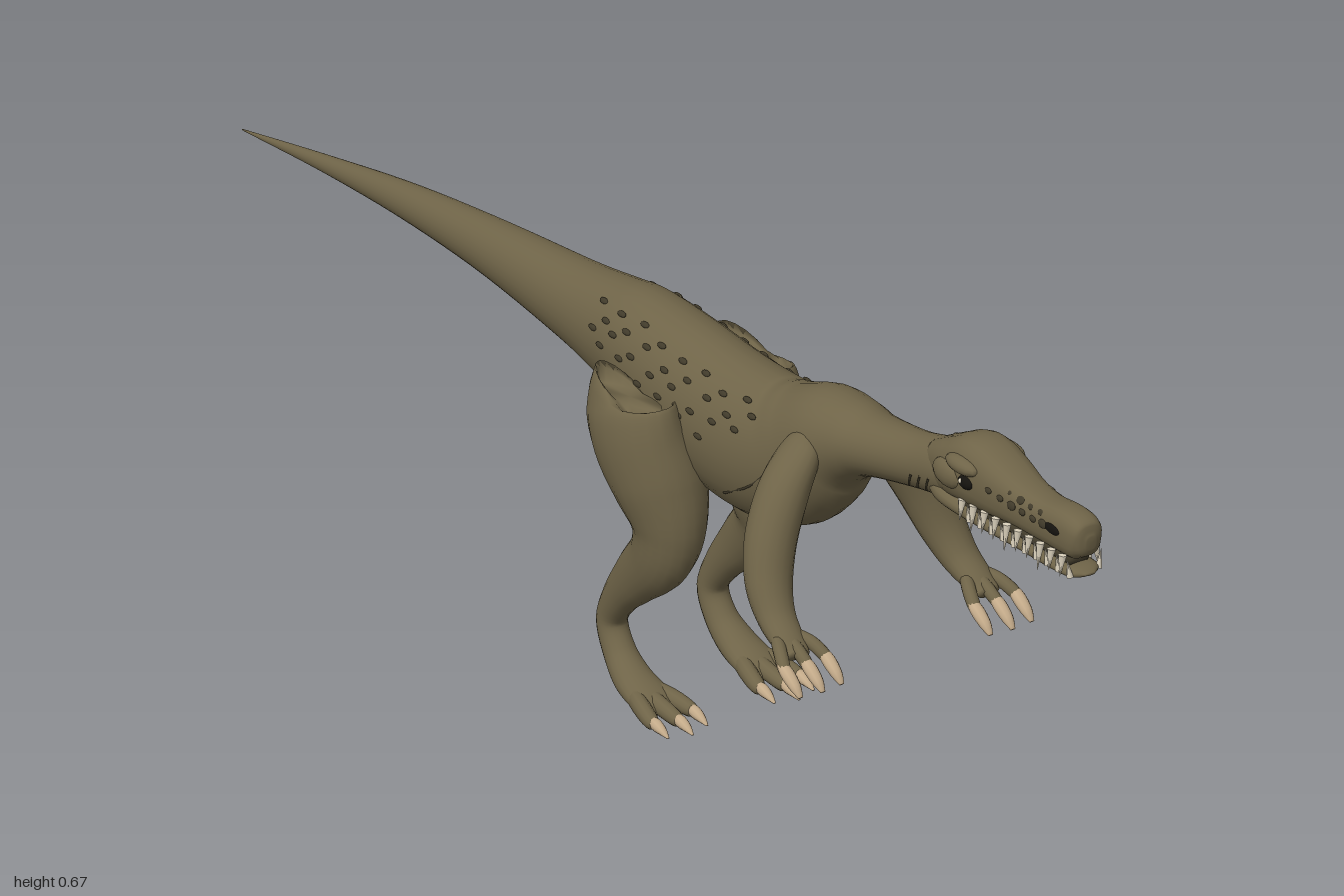
import * as THREE from 'three';

const mat = (name, color) => Object.assign(new THREE.MeshStandardMaterial({ color }), { name });

// Closed smooth loft through rows of [x, y, z, half height, half width]; box > 1 squares the section
function loft(rows, rings = 40, sides = 20, box = 1) {
  const spline = (f) => new THREE.CatmullRomCurve3(rows.map(f), false, 'catmullrom', 0.5);
  const path = spline((r) => new THREE.Vector3(r[0], r[1], r[2]));
  const size = spline((r) => new THREE.Vector3(r[3], r[4], 0));
  const pos = [], idx = [];
  const soft = (v) => Math.sign(v) * Math.abs(v) ** (1 / box);
  for (let i = 0; i <= rings; i++) {
    const c = path.getPoint(i / rings), s = size.getPoint(i / rings);
    const t = path.getTangent(i / rings);
    const side = new THREE.Vector3(0, 0, 1).addScaledVector(t, -t.z).normalize();
    const up = side.clone().cross(t);
    for (let j = 0; j < sides; j++) {
      const q = (j / sides) * Math.PI * 2;
      const p = c.clone().addScaledVector(up, Math.max(s.x, 0.0005) * soft(Math.cos(q)))
        .addScaledVector(side, Math.max(s.y, 0.0005) * soft(Math.sin(q)));
      pos.push(p.x, p.y, p.z);
      if (i < rings) {
        const a = i * sides + j, b = i * sides + ((j + 1) % sides);
        idx.push(a, b, a + sides, b, b + sides, a + sides);
      }
    }
  }
  // End caps
  const last = rings * sides, hub = last + sides;
  pos.push(...path.getPoint(0).toArray(), ...path.getPoint(1).toArray());
  for (let j = 0; j < sides; j++) {
    const k = (j + 1) % sides;
    idx.push(hub, k, j, hub + 1, last + j, last + k);
  }
  const g = new THREE.BufferGeometry();
  g.setAttribute('position', new THREE.Float32BufferAttribute(pos, 3));
  g.setIndex(idx);
  g.computeVertexNormals();
  return g;
}

// Turns [x, top, bottom, half width] into a loft row
const row = ([x, top, bottom, w]) => [x, (top + bottom) / 2, 0, (top - bottom) / 2, w];

// Point and normal on a lofted trunk at x, with the angle q measured from the top
function onSurface(rows, x, q) {
  const i = Math.max(1, rows.findIndex((r) => r[0] >= x));
  const k = (x - rows[i - 1][0]) / (rows[i][0] - rows[i - 1][0]);
  const [, y, , a, b] = rows[i].map((v, n) => THREE.MathUtils.lerp(rows[i - 1][n], v, k));
  return {
    p: new THREE.Vector3(x, y + a * Math.cos(q), b * Math.sin(q)),
    n: new THREE.Vector3(0, Math.cos(q) / a, Math.sin(q) / b).normalize(),
  };
}

const bodyRows = [
  [-1, 0.451, 0.449, 0.001], [-0.8, 0.489, 0.462, 0.012], [-0.6, 0.523, 0.467, 0.025],
  [-0.4, 0.546, 0.46, 0.039], [-0.2, 0.563, 0.437, 0.056], [-0.1, 0.577, 0.416, 0.066],
  [-0.04, 0.584, 0.402, 0.073], [0.05, 0.579, 0.375, 0.08], [0.15, 0.57, 0.349, 0.084],
  [0.23, 0.568, 0.343, 0.085], [0.3, 0.574, 0.36, 0.082], [0.35, 0.59, 0.396, 0.077],
  [0.4, 0.607, 0.45, 0.07], [0.45, 0.606, 0.488, 0.059], [0.5, 0.602, 0.51, 0.048],
  [0.6, 0.615, 0.532, 0.038], [0.67, 0.634, 0.545, 0.037], [0.72, 0.645, 0.56, 0.03],
].map(row);
const headRows = [
  [0.65, 0.626, 0.555, 0.03], [0.7, 0.651, 0.56, 0.042], [0.75, 0.672, 0.563, 0.045],
  [0.8, 0.66, 0.566, 0.042], [0.85, 0.643, 0.57, 0.035], [0.9, 0.637, 0.57, 0.031],
  [0.95, 0.641, 0.57, 0.03], [0.98, 0.638, 0.571, 0.028], [0.994, 0.627, 0.578, 0.021],
  [1, 0.612, 0.592, 0.008],
].map(row);
const jawRows = [
  [0.65, 0.59, 0.55, 0.028], [0.69, 0.58, 0.543, 0.039], [0.77, 0.568, 0.541, 0.036],
  [0.86, 0.562, 0.542, 0.031], [0.94, 0.561, 0.542, 0.03], [0.98, 0.561, 0.544, 0.026],
  [0.998, 0.555, 0.551, 0.008],
].map(row);

export function createModel() {
  const model = new THREE.Group();
  model.name = 'dinosaur';
  const hide = mat('olive hide', 0x6f6448), dark = mat('dark scales', 0x403a2a);
  const claw = mat('tan claws', 0xc4ab8a), ivory = mat('ivory teeth', 0xe2d8c2);
  const black = mat('black', 0x15130f);

  const add = (name, geo, m, parent = model) => {
    const mesh = new THREE.Mesh(geo, m);
    mesh.name = name;
    parent.add(mesh);
    return mesh;
  };
  const ball = new THREE.SphereGeometry(1, 14, 10);
  const blob = (name, m, p, s, parent) => {
    const b = add(name, ball, m, parent);
    b.position.set(...p);
    b.scale.set(...s);
    return b;
  };
  // Cone running from base point to tip point
  const spike = (name, m, from, to, r, parent, sides = 8) => {
    const a = new THREE.Vector3(...from), d = new THREE.Vector3(...to).sub(a);
    const c = add(name, new THREE.ConeGeometry(r, d.length(), sides), m, parent);
    c.position.copy(a).addScaledVector(d, 0.5);
    c.quaternion.setFromUnitVectors(new THREE.Vector3(0, 1, 0), d.normalize());
  };
  // Flat oval scale lying on a trunk
  const scale = (name, rows, x, q, l, w, parent) => {
    const { p, n } = onSurface(rows, x, q);
    const s = blob(name, dark, p.toArray(), [l, 0.003, w], parent);
    s.quaternion.setFromUnitVectors(new THREE.Vector3(0, 1, 0), n);
  };
  // Thin skin crease between two surface positions [x, q]
  const crease = (name, rows, a, b, r, parent) => {
    const pts = [0, 0.25, 0.5, 0.75, 1].map((k) =>
      onSurface(rows, THREE.MathUtils.lerp(a[0], b[0], k), THREE.MathUtils.lerp(a[1], b[1], k)).p);
    add(name, new THREE.TubeGeometry(new THREE.CatmullRomCurve3(pts), 10, r, 5), dark, parent);
  };

  // Trunk and head
  add('bodyAndTail', loft(bodyRows, 90, 28), hide);
  add('upperHead', loft(headRows, 50, 24, 1.3), hide);
  add('lowerJaw', loft(jawRows, 40, 20, 1.15), hide);
  add('mouthLining', loft([[0.7, 0.567, 0, 0.012, 0.032], [0.85, 0.566, 0, 0.01, 0.024],
    [0.97, 0.566, 0, 0.01, 0.018]], 16, 12), dark);

  for (const s of [1, -1]) {
    const half = new THREE.Group();
    half.name = s > 0 ? 'rightHalfDetails' : 'leftHalfDetails';
    model.add(half);

    // Brow, cheek, eye and nostril
    blob('brow', hide, [0.75, 0.637, s * 0.04], [0.036, 0.013, 0.015], half);
    blob('cheek', hide, [0.715, 0.61, s * 0.037], [0.035, 0.022, 0.015], half);
    blob('eye', black, [0.762, 0.615, s * 0.043], [0.016, 0.01, 0.008], half);
    blob('eyeGlint', ivory, [0.757, 0.617, s * 0.049], [0.004, 0.004, 0.003], half);
    blob('nostril', black, [0.945, 0.611, s * 0.0285], [0.018, 0.008, 0.004], half);

    // Scales on the head, nape and back
    for (let i = 0; i < 6; i++) {
      for (let r = 0; r < 2; r++) {
        const big = (i + r) % 3 === 0 ? 1.35 : 1;
        scale('headScale', headRows, 0.8 + i * 0.023 + r * 0.01, s * (0.95 + r * 0.42), 0.007 * big, 0.005 * big, half);
      }
    }
    for (let i = 0; i < 6; i++) {
      scale('napeScale', headRows, 0.68 + (i % 2) * 0.016, s * (0.15 + i * 0.17), 0.011, 0.006, half);
    }
    for (let r = 0; r < 4; r++) {
      for (let i = 0; i < 8 - (r === 3 ? 2 : 0); i++) {
        const x = -0.09 + i * 0.05 + (r % 2) * 0.025;
        scale('backScale', bodyRows, x, s * (0.7 + r * 0.24 + 0.06 * Math.sin(i * 2.3 + r)), 0.009, 0.0045, half);
      }
    }

    // Skin creases behind the arm and on the throat
    crease('flankCrease', bodyRows, [0.23, s * 2.15], [0.36, s * 1.65], 0.002, half);
    for (let i = 0; i < 3; i++) {
      crease('throatCrease', bodyRows, [0.605 + i * 0.02, s * 2.4], [0.625 + i * 0.02, s * 1.75], 0.002, half);
    }

    // Teeth
    for (let i = 0; i < 10; i++) {
      const x = 0.745 + i * 0.025, w = 0.037 - i * 0.0009, long = i % 3 === 1 ? 0.009 : 0;
      spike('upperTooth', ivory, [x, 0.58, s * w], [x, 0.547 - long, s * (w + 0.005)], 0.0068, half, 6);
      spike('lowerTooth', ivory, [x + 0.0125, 0.55, s * (w - 0.004)], [x + 0.0125, 0.579, s * (w + 0.001)], 0.0055, half, 6);
    }

    // Hind leg, toes and claws
    const leg = new THREE.Group();
    leg.name = 'hindLeg';
    half.add(leg);
    add('legAndFoot', loft([
      [0.054, 0.484, s * 0.104, 0.07, 0.02], [0.055, 0.474, s * 0.104, 0.09, 0.044],
      [0.072, 0.425, s * 0.1, 0.088, 0.058], [0.1, 0.365, s * 0.087, 0.076, 0.064],
      [0.118, 0.305, s * 0.085, 0.061, 0.051], [0.107, 0.255, s * 0.091, 0.052, 0.039],
      [0.06, 0.205, s * 0.092, 0.041, 0.03], [0.015, 0.155, s * 0.09, 0.029, 0.025],
      [-0.011, 0.107, s * 0.088, 0.022, 0.023], [0.008, 0.063, s * 0.089, 0.023, 0.024],
      [0.045, 0.034, s * 0.092, 0.023, 0.03], [0.09, 0.02, s * 0.093, 0.016, 0.034],
      [0.115, 0.012, s * 0.093, 0.006, 0.025]], 60, 20), hide, leg);
    for (const d of [-1, 0, 1]) {
      const z = s * (0.093 + d * 0.034), far = d === 0 ? 0.012 : 0;
      add('toe', loft([[0.055, 0.026, s * (0.093 + d * 0.012), 0.014, 0.012],
        [0.1, 0.02, s * (0.093 + d * 0.026), 0.014, 0.013],
        [0.135 + far, 0.013, z, 0.011, 0.011], [0.147 + far, 0.011, z, 0.003, 0.004]], 14, 12), hide, leg);
      add('toeClaw', loft([[0.132 + far, 0.016, z, 0.006, 0.006], [0.146 + far, 0.013, z, 0.009, 0.009],
        [0.16 + far, 0.009, z, 0.006, 0.007], [0.174 + far, 0.003, z, 0.001, 0.002]], 12, 10), claw, leg);
    }

    // Arm, fingers and claws
    const arm = new THREE.Group();
    arm.name = 'foreArm';
    half.add(arm);
    add('armAndPalm', loft([
      [0.404, 0.552, s * 0.05, 0.014, 0.01], [0.404, 0.53, s * 0.064, 0.034, 0.024],
      [0.41, 0.48, s * 0.1, 0.039, 0.036], [0.423, 0.42, s * 0.132, 0.037, 0.038],
      [0.443, 0.365, s * 0.151, 0.032, 0.035], [0.472, 0.325, s * 0.16, 0.025, 0.029],
      [0.51, 0.3, s * 0.165, 0.016, 0.025], [0.535, 0.289, s * 0.166, 0.008, 0.018]], 44, 18), hide, arm);
    for (const d of [-1, 0, 1]) {
      const z = s * (0.166 + d * 0.036), x = 0.553 - Math.abs(d) * 0.004;
      add('finger', loft([[0.497, 0.306, s * (0.165 + d * 0.012), 0.01, 0.01],
        [0.525, 0.298, s * (0.165 + d * 0.027), 0.01, 0.01],
        [x, 0.283, z, 0.009, 0.009], [x + 0.007, 0.278, z, 0.004, 0.004]], 14, 12), hide, arm);
      add('fingerClaw', loft([[x - 0.009, 0.289, z, 0.006, 0.007], [x + 0.006, 0.28, z, 0.0095, 0.0105],
        [x + 0.025, 0.266, z, 0.008, 0.009], [x + 0.038, 0.254, z, 0.002, 0.004]], 12, 10), claw, arm);
    }
  }
  return model;
}
